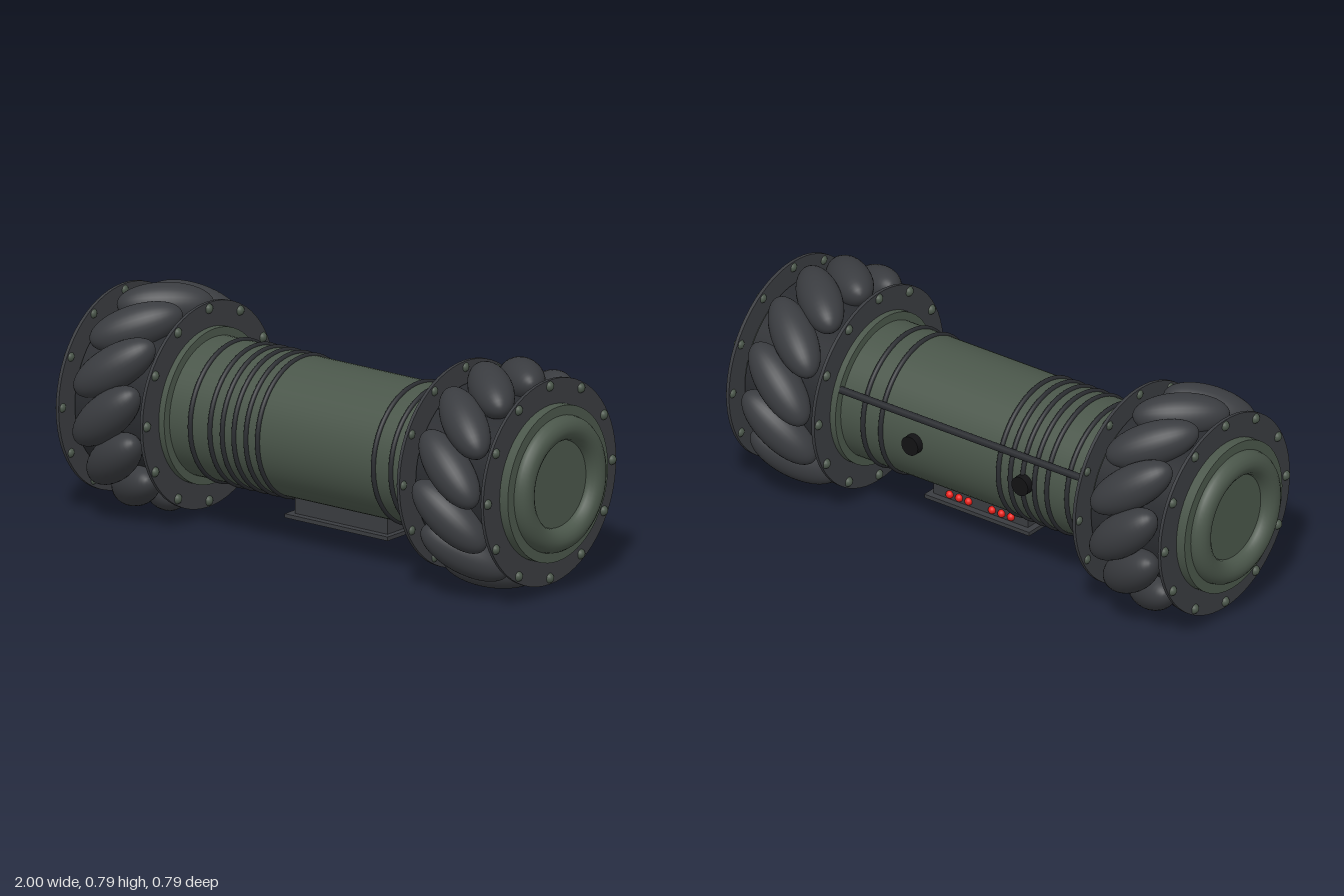
import * as THREE from 'three';

const mat = (color) => new THREE.MeshStandardMaterial({ color });
const green = mat(0x4a564a), tyre = mat(0x3a3c40), dark = mat(0x2a2c30);
const black = mat(0x121214), red = mat(0xe8201a);
const AXLE_Y = 0.395;

function add(parent, name, geometry, material, x = 0, y = 0, z = 0) {
  const mesh = new THREE.Mesh(geometry, material);
  mesh.name = name;
  mesh.position.set(x, y, z);
  parent.add(mesh);
  return mesh;
}

// Cylinder and ring lying along the x axis
const drum = (r, length, sides = 64) => new THREE.CylinderGeometry(r, r, length, sides).rotateZ(Math.PI / 2);
const ring = (r, tube) => new THREE.TorusGeometry(r, tube, 16, 64).rotateY(Math.PI / 2);

// Wheel with slanted barrel rollers between two bolted plates
function makeWheel(side, phase) {
  const wheel = new THREE.Group();
  wheel.name = side > 0 ? 'leftWheel' : 'rightWheel';
  wheel.position.x = side * 0.735;

  add(wheel, 'hubDrum', drum(0.285, 0.33), dark);
  add(wheel, 'hubCore', drum(0.272, 0.432), green, side * 0.006);
  add(wheel, 'hubCapRim', ring(0.195, 0.043), green, side * 0.222);

  const rollerGeo = new THREE.SphereGeometry(1, 32, 20).rotateZ(Math.PI / 2).scale(0.165, 0.075, 0.075);
  const boltGeo = new THREE.SphereGeometry(0.018, 16, 12);
  for (const end of [-1, 1]) add(wheel, 'sidePlate', drum(0.36, 0.012), tyre, end * 0.181);

  for (let i = 0; i < 12; i++) {
    const pivot = new THREE.Group();
    pivot.name = 'rollerMount';
    pivot.rotation.x = (i * Math.PI) / 6 + phase;
    const roller = add(pivot, 'roller', rollerGeo, tyre, 0, 0, 0.32);
    roller.rotation.z = -side * 0.7;
    wheel.add(pivot);

    const a = (i * Math.PI) / 6;
    for (const end of [-1, 1]) {
      add(wheel, 'plateBolt', boltGeo, green, end * 0.183, 0.338 * Math.sin(a), 0.338 * Math.cos(a));
    }
  }
  return wheel;
}

export function createModel() {
  const model = new THREE.Group();
  model.name = 'twoWheeledRobot';
  const chassis = new THREE.Group();
  chassis.name = 'chassis';
  chassis.position.y = AXLE_Y;
  model.add(chassis);

  // Tubular body with bands
  add(chassis, 'body', drum(0.243, 1.1), green);
  const bandGeo = ring(0.243, 0.009);
  for (const x of [-0.435, -0.35, -0.297, -0.247, -0.195, -0.145, 0.355, 0.43]) {
    add(chassis, 'bodyBand', bandGeo, dark, x);
  }

  // Wheels
  chassis.add(makeWheel(1, Math.PI / 12), makeWheel(-1, 0));

  // Rail and sensors on the back
  add(chassis, 'backRail', drum(0.013, 1.05, 16), dark, 0, 0.1, -0.24);
  for (const x of [-0.255, 0.212]) {
    const sensor = new THREE.CylinderGeometry(0.035, 0.035, 0.05, 32).rotateX(Math.PI / 2);
    add(chassis, 'backSensor', sensor, black, x, 0, -0.245);
  }

  // Underslung box, base plate and indicator lights
  add(chassis, 'bellyBox', new THREE.BoxGeometry(0.4, 0.1, 0.12), tyre, 0.07, -0.245, 0);
  add(chassis, 'bellyPlate', new THREE.BoxGeometry(0.445, 0.014, 0.17), tyre, 0.068, -0.298, 0);
  const lightGeo = new THREE.SphereGeometry(0.014, 16, 12);
  for (const dx of [-0.13, -0.09, -0.05, 0.05, 0.09, 0.13]) {
    add(chassis, 'indicatorLight', lightGeo, red, 0.07 + dx, -0.272, -0.062);
  }
  return model;
}
